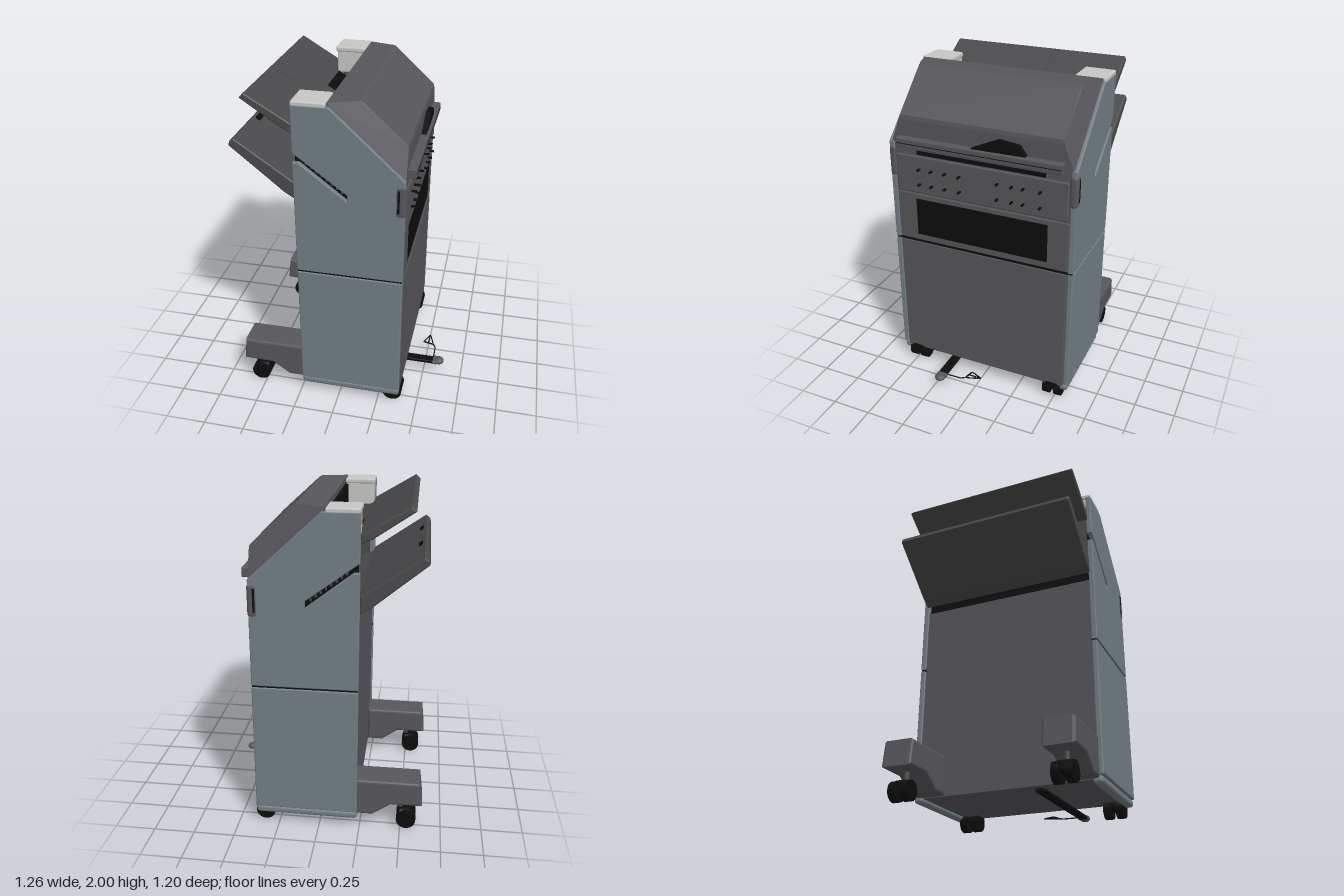
import * as THREE from 'three';
import { RoundedBoxGeometry } from 'three/addons/geometries/RoundedBoxGeometry.js';
import { ConvexGeometry } from 'three/addons/geometries/ConvexGeometry.js';

export function createModel() {
  const root = new THREE.Group();
  root.name = 'paperFinisher';

  const mat = (name, color) => {
    const m = new THREE.MeshStandardMaterial({ color });
    m.name = name;
    return m;
  };
  const panelGrey = mat('blueGreyPanel', 0x727d82);
  const dark = mat('charcoal', 0x57565b);
  const trayGrey = mat('trayGrey', 0x4a4a4c);
  const light = mat('lightGrey', 0xc6c6c4);
  const black = mat('black', 0x0d0d0d);

  const add = (name, geo, m, parent = root) => {
    const mesh = new THREE.Mesh(geo, m);
    mesh.name = name;
    parent.add(mesh);
    return mesh;
  };
  // Box given by its limits, with optional rounded edges
  const box = (name, m, [x0, x1], [y0, y1], [z0, z1], r = 0, parent = root) => {
    const s = [x1 - x0, y1 - y0, z1 - z0];
    const geo = r ? new RoundedBoxGeometry(...s, 2, r) : new THREE.BoxGeometry(...s);
    const mesh = add(name, geo, m, parent);
    mesh.position.set((x0 + x1) / 2, (y0 + y1) / 2, (z0 + z1) / 2);
    return mesh;
  };
  // Profile in x and y, extruded between two z values
  const slab = (name, m, pts, z0, z1, bevel = 0, parent = root) => {
    const shape = new THREE.Shape(pts.map(p => new THREE.Vector2(...p)));
    const geo = new THREE.ExtrudeGeometry(shape, {
      depth: z1 - z0 - 2 * bevel, bevelEnabled: bevel > 0, bevelThickness: bevel,
      bevelSize: bevel, bevelOffset: -bevel, bevelSegments: 3,
    });
    geo.translate(0, 0, z0 + bevel);
    return add(name, geo, m, parent);
  };
  // Limits mirrored to the chosen side
  const side = (s, a, b) => (s > 0 ? [a, b] : [-b, -a]);

  // Core of the cabinet with the open output well at the back
  slab('cabinetCore', dark, [[-0.225, 0.095], [0.383, 0.095], [0.383, 1.58], [-0.04, 1.96],
    [-0.06, 1.4], [-0.225, 1.35]], -0.56, 0.56);
  box('wellBackWall', black, [-0.064, -0.04], [1.4, 1.95], [-0.55, 0.55]);
  box('wellFloor', black, [-0.225, -0.05], [1.355, 1.405], [-0.55, 0.55]);

  // Sloping top cover with tapered ends
  const coverPoints = [];
  for (const s of [-1, 1]) {
    for (const [x, y, z] of [[-0.04, 1.955, 0.582], [-0.04, 1.985, 0.575], [0.125, 1.988, 0.515],
      [0.14, 1.98, 0.51], [0.386, 1.755, 0.51], [0.39, 1.73, 0.515], [0.39, 1.585, 0.572], [0.36, 1.585, 0.582]]) {
      coverPoints.push(new THREE.Vector3(x, y, z * s));
    }
  }
  add('topCover', new ConvexGeometry(coverPoints), dark);

  for (const s of [-1, 1]) {
    // Side panels, seam and plinth
    const [z0, z1] = side(s, 0.56, 0.595);
    slab('lowerSidePanel', panelGrey, [[-0.235, 0.12], [0.39, 0.12], [0.39, 0.93], [-0.235, 0.93]], z0, z1, 0.008);
    slab('upperSidePanel', panelGrey, [[-0.235, 0.94], [0.39, 0.94], [0.39, 1.58], [-0.025, 1.965], [-0.235, 1.965],
      [-0.235, 1.69], [-0.2, 1.665], [0.07, 1.465], [0.07, 1.425], [-0.2, 1.635], [-0.235, 1.635]], z0, z1, 0.006);
    box('panelSeam', black, [-0.232, 0.387], [0.928, 0.942], side(s, 0.56, 0.588));
    box('sidePlinth', panelGrey, [-0.235, 0.39], [0.07, 0.117], side(s, 0.53, 0.588), 0.018);

    // Dark lining and guide ribs seen through the sloping slot
    slab('slotLining', black, [[-0.225, 1.6], [0.09, 1.38], [0.09, 1.5], [-0.225, 1.72]], ...side(s, 0.558, 0.567));
    for (let i = 0; i < 8; i++) {
      const x = -0.17 + i * 0.029, y = 1.632 - i * 0.0222;
      box('slotRib', trayGrey, [x, x + 0.012], [y - 0.012, y + 0.004], side(s, 0.56, 0.575));
    }

    // Light towers either side of the well
    box('towerCap', light, [-0.235, -0.045], [1.955, 1.987], side(s, 0.405, 0.594), 0.01);
    box('towerBlock', light, [-0.228, -0.05], [1.82, 1.965], side(s, 0.41, 0.565), 0.01);
    box('towerLowerBlock', trayGrey, [-0.2, -0.05], [1.4, 1.83], side(s, 0.47, 0.562));

    // Recessed grip at the front edge
    box('sideGrip', dark, [0.335, 0.397], [1.36, 1.555], side(s, 0.55, 0.599), 0.02);
    box('gripHollow', black, [0.35, 0.362], [1.39, 1.53], side(s, 0.596, 0.601));

    // Rear outrigger legs
    slab('outriggerLeg', dark, [[-0.63, 0.18], [-0.612, 0.337], [-0.225, 0.337], [-0.225, 0.1],
      [-0.33, 0.1], [-0.44, 0.178]], ...side(s, 0.383, 0.572), 0.018);

    // Twin-wheel casters
    for (const [x, z, stem] of [[-0.535, 0.48, 0.19], [0.34, 0.485, 0.11]]) {
      const caster = new THREE.Group();
      caster.name = 'caster';
      caster.position.set(x, 0, z * s);
      root.add(caster);
      for (const k of [-1, 1]) {
        const wheel = add('wheel', new THREE.CylinderGeometry(0.06, 0.06, 0.045, 24), black, caster);
        wheel.rotation.x = Math.PI / 2;
        wheel.position.set(0, 0.06, k * 0.038);
      }
      box('casterHood', black, [-0.03, 0.055], [0.05, 0.122], [-0.05, 0.05], 0.02, caster);
      const pin = add('casterStem', new THREE.CylinderGeometry(0.016, 0.016, stem - 0.1, 12), trayGrey, caster);
      pin.position.set(0.035, (stem + 0.1) / 2, 0);
    }
  }

  // Front doors, window and paper slot
  box('lowerDoor', dark, [0.37, 0.391], [0.1, 0.928], [-0.556, 0.556], 0.006);
  box('upperDoor', dark, [0.37, 0.391], [0.944, 1.262], [-0.556, 0.556], 0.006);
  box('doorWindow', black, [0.388, 0.393], [0.985, 1.23], [-0.43, 0.43], 0.002);
  box('doorSeam', black, [0.378, 0.386], [0.926, 0.946], [-0.556, 0.556]);
  box('pinPanel', dark, [0.375, 0.396], [1.27, 1.512], [-0.55, 0.55], 0.009);
  box('entrySlot', black, [0.38, 0.39], [1.52, 1.545], [-0.41, 0.41]);
  box('slotSurround', dark, [0.37, 0.385], [1.505, 1.59], [-0.556, 0.556]);
  for (const y of [1.335, 1.432]) {
    for (const z of [-0.385, -0.28, -0.21, -0.12, 0.125, 0.22, 0.31, 0.392]) {
      box('locatingPin', black, [0.39, 0.425], [y - 0.005, y + 0.005], [z - 0.006, z + 0.006]);
    }
  }

  // Entry shelf with its dark guide
  box('entryShelf', dark, [0.37, 0.437], [1.572, 1.628], [-0.52, 0.52], 0.006);
  box('shelfGroove', black, [0.436, 0.439], [1.596, 1.6], [-0.515, 0.515]);
  const guideShape = new THREE.Shape([[-0.04, 1.628], [0.13, 1.705], [0.26, 1.69], [0.3, 1.632]]
    .map(p => new THREE.Vector2(...p)));
  const guide = add('entryGuide', new THREE.ExtrudeGeometry(guideShape, { depth: 0.035, bevelEnabled: false }), black);
  guide.rotation.y = Math.PI / 2;
  guide.position.x = 0.386;

  // Output trays, with tongues running down into the well
  slab('upperTray', trayGrey, [[-0.525, 1.972], [-0.497, 2.0], [-0.235, 1.845], [-0.235, 1.79],
    [-0.3, 1.82]], -0.575, 0.57, 0.01);
  slab('upperTrayTongue', trayGrey, [[-0.26, 1.86], [-0.07, 1.735], [-0.07, 1.69], [-0.26, 1.81]], -0.405, 0.405);
  slab('upperTrayPad', trayGrey, [[-0.465, 1.975], [-0.465, 1.987], [-0.085, 1.753], [-0.085, 1.741]], -0.11, 0.1);
  slab('wellShadowPlate', black, [[-0.215, 1.834], [-0.05, 1.726], [-0.05, 1.717], [-0.215, 1.825]], -0.4, -0.11);
  slab('lowerTray', trayGrey, [[-0.608, 1.69], [-0.6, 1.715], [-0.575, 1.733], [-0.235, 1.5], [-0.235, 1.395],
    [-0.3, 1.435], [-0.42, 1.535]], -0.575, 0.57, 0.01);
  slab('lowerTrayTongue', trayGrey, [[-0.25, 1.505], [-0.07, 1.43], [-0.07, 1.4], [-0.25, 1.41]], -0.47, 0.47);
  for (const z of [-0.21, 0.2]) {
    slab('trayClip', black, [[-0.562, 1.7], [-0.562, 1.732], [-0.54, 1.718], [-0.54, 1.69]], z - 0.035, z + 0.035);
  }

  // Locking lever beneath the cabinet
  box('leverBar', black, [-0.2, 0.57], [0.068, 0.09], [0.178, 0.235], 0.006);
  box('leverNeck', dark, [0.555, 0.59], [0.067, 0.092], [0.17, 0.24], 0.01);
  const knob = add('leverKnob', new THREE.SphereGeometry(0.034, 20, 12), dark);
  knob.scale.y = 0.65;
  knob.position.set(0.598, 0.082, 0.205);

  // Thin wire and its triangular end
  const wire = (name, pts, closed = false) => {
    const curve = new THREE.CatmullRomCurve3(pts.map(([x, z]) => new THREE.Vector3(x, 0.083, z)), closed, 'catmullrom', 0.1);
    add(name, new THREE.TubeGeometry(curve, 24, 0.004, 6, closed), black);
  };
  wire('leverWire', [[0.56, 0.18], [0.558, 0.08], [0.54, 0.05], [0.48, 0.035]]);
  wire('wireTriangle', [[0.475, 0.035], [0.51, -0.045], [0.54, 0.05]], true);
  wire('wireRib', [[0.508, -0.03], [0.507, 0.04]]);

  return root;
}
